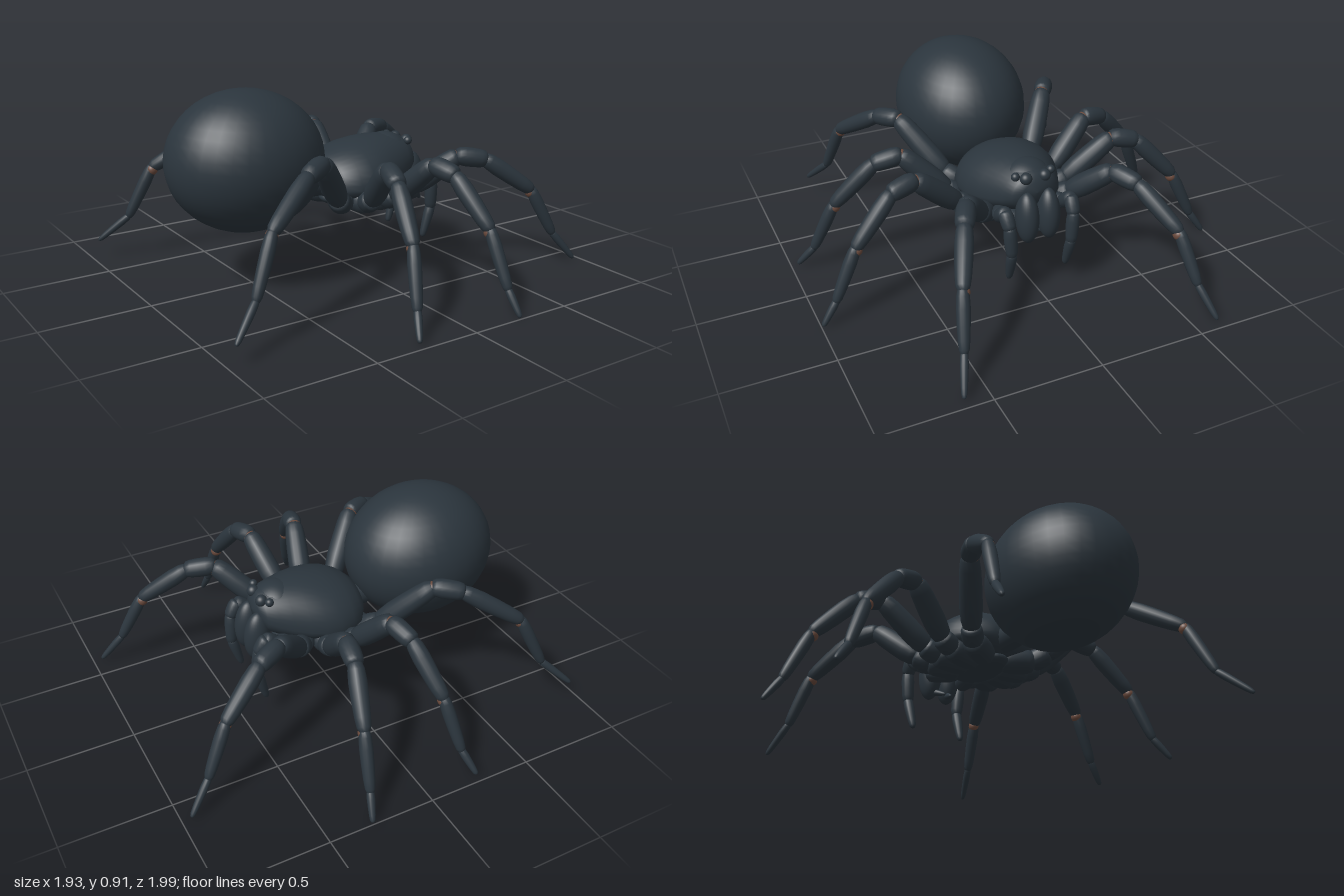
import * as THREE from 'three';

const shell = new THREE.MeshStandardMaterial({ name: 'dark slate shell', color: 0x2b353d });
const joint = new THREE.MeshStandardMaterial({ name: 'brown joint skin', color: 0x6a4a3d });
const V = (p) => new THREE.Vector3(...p);

function add(parent, name, geometry, material = shell) {
  const mesh = new THREE.Mesh(geometry, material);
  mesh.name = name;
  parent.add(mesh);
  return mesh;
}

function ellipsoid(parent, name, center, radii, material = shell, tilt = 0) {
  const mesh = add(parent, name, new THREE.SphereGeometry(1, 32, 22), material);
  mesh.position.set(...center);
  mesh.scale.set(...radii);
  mesh.rotation.z = tilt;
  return mesh;
}

// Rounded, slightly bulging limb segment between two points
const bulge = [[0, 0], [0.01, 0.45], [0.04, 0.72], [0.12, 0.9], [0.3, 1.03], [0.55, 1.04],
  [0.78, 1.0], [0.91, 0.9], [0.97, 0.66], [0.99, 0.4], [1, 0]];
function segment(parent, name, a, b, r0, r1) {
  const from = V(a), dir = V(b).sub(from), len = dir.length();
  const over = 0.012; // overlap into the neighbouring segments
  const pts = bulge.map(([t, k]) =>
    new THREE.Vector2(k * (r0 + (r1 - r0) * t), t * (len + 2 * over) - over));
  const mesh = add(parent, name, new THREE.LatheGeometry(pts, 16));
  mesh.position.copy(from);
  mesh.quaternion.setFromUnitVectors(new THREE.Vector3(0, 1, 0), dir.normalize());
  return mesh;
}

// Closed skin through elliptical sections [x, half width, bottom y, side y, top y]
function loft(sections, sides = 40) {
  const pos = [], idx = [];
  for (const [x, w, bottom, mid, top] of sections) {
    for (let j = 0; j < sides; j++) {
      const a = (j / sides) * Math.PI * 2, s = Math.sin(a);
      pos.push(x, mid + s * (s > 0 ? top - mid : mid - bottom), Math.cos(a) * w);
    }
  }
  for (let i = 0; i < sections.length - 1; i++) {
    for (let j = 0; j < sides; j++) {
      const a = i * sides + j, b = i * sides + (j + 1) % sides;
      idx.push(a, a + sides, b, b, a + sides, b + sides);
    }
  }
  const g = new THREE.BufferGeometry();
  g.setAttribute('position', new THREE.Float32BufferAttribute(pos, 3));
  g.setIndex(idx);
  g.computeVertexNormals();
  return g;
}

// Joints of each leg on the +z side: sternum, hip, trochanter, knee, patella end, tibia end, ankle, tip
const legs = [
  { name: 'frontLeg', shift: 0, path: [[0.14, 0.36, 0.06], [0.21, 0.37, 0.18], [0.25, 0.4, 0.23],
    [0.41, 0.555, 0.36], [0.53, 0.535, 0.42], [0.74, 0.375, 0.52], [0.85, 0.15, 0.565], [0.95, 0.02, 0.61]] },
  { name: 'secondLeg', shift: 0.04, path: [[0.07, 0.355, 0.07], [0.1, 0.36, 0.22], [0.11, 0.39, 0.28],
    [0.155, 0.58, 0.5], [0.18, 0.555, 0.62], [0.225, 0.35, 0.81], [0.24, 0.11, 0.92], [0.25, 0.013, 0.985]] },
  { name: 'thirdLeg', shift: 0.015, path: [[0.01, 0.355, 0.07], [-0.01, 0.36, 0.22], [-0.02, 0.39, 0.28],
    [-0.08, 0.59, 0.48], [-0.115, 0.555, 0.6], [-0.175, 0.35, 0.79], [-0.225, 0.11, 0.89], [-0.265, 0.02, 0.96]] },
  { name: 'backLeg', shift: 0, path: [[-0.05, 0.36, 0.05], [-0.12, 0.365, 0.18], [-0.17, 0.4, 0.23],
    [-0.355, 0.635, 0.39], [-0.47, 0.615, 0.46], [-0.72, 0.455, 0.59], [-0.83, 0.21, 0.645], [-0.955, 0.092, 0.72]] },
];
const legParts = [['coxa', 0.062, 0.058], ['trochanter', 0.05, 0.05], ['femur', 0.054, 0.048],
  ['patella', 0.045, 0.043], ['tibia', 0.043, 0.034], ['metatarsus', 0.032, 0.024], ['tarsus', 0.02, 0.013]];

export function createModel() {
  const model = new THREE.Group();
  model.name = 'spider';

  // Abdomen and waist
  ellipsoid(model, 'abdomen', [-0.518, 0.59, 0], [0.372, 0.324, 0.32], shell, -0.08);
  segment(model, 'waist', [-0.26, 0.43, 0], [-0.06, 0.42, 0], 0.06, 0.06);

  // Carapace with narrowing head
  add(model, 'carapace', loft([
    [-0.165, 0, 0.45, 0.45, 0.45], [-0.16, 0.08, 0.4, 0.44, 0.49], [-0.14, 0.14, 0.37, 0.43, 0.525],
    [-0.1, 0.195, 0.35, 0.42, 0.56], [-0.04, 0.232, 0.34, 0.42, 0.59], [0.03, 0.243, 0.335, 0.42, 0.608],
    [0.1, 0.234, 0.335, 0.425, 0.618], [0.17, 0.208, 0.34, 0.435, 0.622], [0.24, 0.175, 0.36, 0.45, 0.618],
    [0.3, 0.145, 0.39, 0.47, 0.608], [0.345, 0.115, 0.42, 0.49, 0.59], [0.368, 0.07, 0.46, 0.51, 0.56],
    [0.375, 0, 0.51, 0.51, 0.51],
  ]));
  ellipsoid(model, 'headDome', [0.25, 0.51, 0], [0.12, 0.112, 0.125]);
  ellipsoid(model, 'sternum', [0.05, 0.345, 0], [0.17, 0.05, 0.11]);

  for (const side of [1, -1]) {
    const label = side > 0 ? 'PlusZ' : 'MinusZ';

    // Eyes
    ellipsoid(model, 'mainEye' + label, [0.347, 0.577, side * 0.046], [0.028, 0.028, 0.028]);
    ellipsoid(model, 'sideEye' + label, [0.325, 0.585, side * 0.088], [0.02, 0.02, 0.02]);

    // Jaws with fangs
    ellipsoid(model, 'jaw' + label, [0.378, 0.395, side * 0.053], [0.063, 0.125, 0.053], shell, 0.08);
    segment(model, 'fang' + label, [0.38, 0.31, side * 0.05], [0.31, 0.285, side * 0.02], 0.022, 0.008);
    segment(model, 'mouthPlate' + label, [0.18, 0.35, side * 0.04], [0.32, 0.37, side * 0.1], 0.045, 0.04);

    // Feelers beside the jaws
    const feeler = new THREE.Group();
    feeler.name = 'feeler' + label;
    const fp = [[0.24, 0.38, 0.12], [0.32, 0.4, 0.16], [0.385, 0.45, 0.165], [0.42, 0.39, 0.16],
      [0.425, 0.25, 0.15], [0.385, 0.11, 0.145]].map(([x, y, z]) => [x, y, z * side]);
    const fr = [0.04, 0.036, 0.034, 0.031, 0.028, 0.016];
    for (let i = 0; i < fp.length - 1; i++) {
      segment(feeler, 'feelerSegment' + (i + 1), fp[i], fp[i + 1], fr[i], fr[i + 1]);
    }
    model.add(feeler);

    // Walking legs
    for (const { name, shift, path } of legs) {
      const leg = new THREE.Group();
      leg.name = name + label;
      const p = path.map(([x, y, z], i) =>
        [x + (side < 0 ? shift * Math.max(0, i - 4) / 3 : 0), y, z * side]);
      legParts.forEach(([part, r0, r1], i) => segment(leg, part, p[i], p[i + 1], r0, r1));
      // Soft skin showing under the knee and the shin joint
      for (const [i, r] of [[3, 0.036], [5, 0.027]]) {
        const [x, y, z] = p[i];
        ellipsoid(leg, 'jointSkin', [x, y - 0.012, z - side * 0.004], [r, r, r], joint);
      }
      model.add(leg);
    }
  }
  return model;
}
